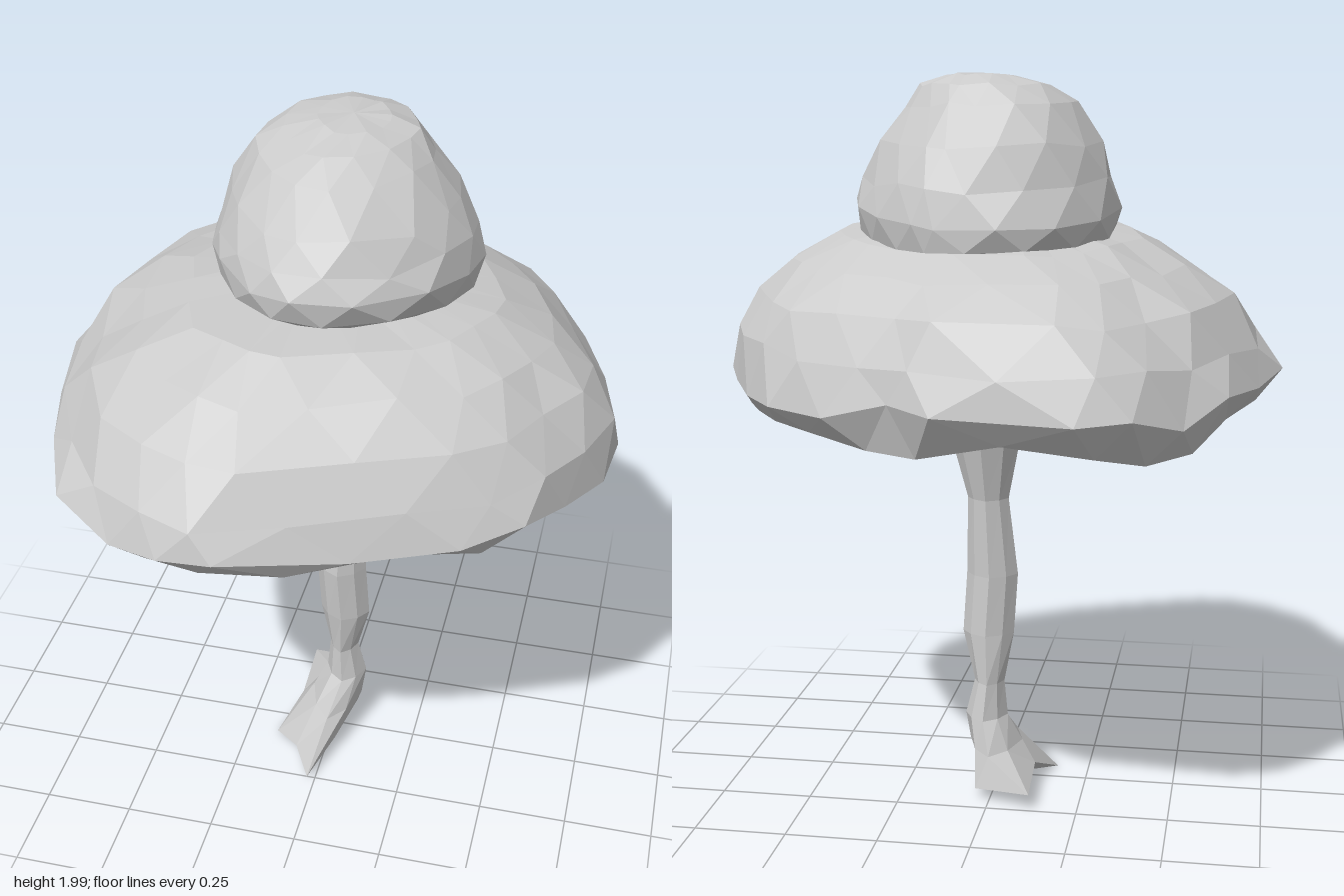
import * as THREE from 'three';

const material = new THREE.MeshStandardMaterial({ color: 0xcccccc, flatShading: true });

// Small repeatable noise in -1..1
let seed = 7;
function noise() {
  seed = (seed * 16807) % 2147483647;
  return (seed / 2147483647) * 2 - 1;
}

// Skin a stack of equal-length rings (bottom to top) and close both ends
function loft(name, rings, bottom, top) {
  const n = rings[0].length;
  const pos = [];
  const tri = (...pts) => pts.forEach((p) => pos.push(...p));
  for (let j = 0; j < n; j++) {
    const k = (j + 1) % n;
    tri(bottom, rings[0][j], rings[0][k]);
    for (let i = 0; i < rings.length - 1; i++) {
      const a = rings[i], b = rings[i + 1];
      tri(a[j], b[j], a[k]);
      tri(a[k], b[j], b[k]);
    }
    const last = rings[rings.length - 1];
    tri(last[j], top, last[k]);
  }
  const geo = new THREE.BufferGeometry();
  geo.setAttribute('position', new THREE.Float32BufferAttribute(pos, 3));
  geo.computeVertexNormals();
  const mesh = new THREE.Mesh(geo, material);
  mesh.name = name;
  return mesh;
}

// Foliage lump from an [x, z] outline around (cx, cz); each ring turns half a step.
// Levels are [scale, y, tilt along z, jitter, centre x, centre z]
function foliage(name, outline, cx, cz, levels, bottom, top) {
  const n = outline.length;
  const rings = levels.map(([s, y, tilt, jitter, ox = cx, oz = cz], i) =>
    outline.map((_, j) => {
      const p = outline[(j + Math.floor(i / 2)) % n];
      const q = outline[(j + Math.ceil(i / 2)) % n];
      const r = s * (1 + (s === 1 ? 0 : 0.02 * noise()));
      const x = ox + r * ((p[0] + q[0]) / 2 - cx);
      const z = oz + r * ((p[1] + q[1]) / 2 - cz);
      return [x, y + tilt * z + jitter * noise(), z];
    }));
  return loft(name, rings, bottom, top);
}

export function createModel() {
  seed = 7;
  const tree = new THREE.Group();
  tree.name = 'tree';

  // Broad lower crown with a hollow underside
  const crownOutline = [
    [0.77, 0.01], [0.75, 0.19], [0.67, 0.34], [0.59, 0.49], [0.45, 0.59], [0.2, 0.7],
    [-0.1, 0.82], [-0.24, 0.81], [-0.38, 0.75], [-0.55, 0.64], [-0.65, 0.4], [-0.71, 0.19],
    [-0.77, -0.08], [-0.71, -0.3], [-0.64, -0.52], [-0.54, -0.66], [-0.43, -0.79],
    [-0.3, -0.83], [0.04, -0.8], [0.16, -0.71], [0.34, -0.64], [0.5, -0.55], [0.6, -0.4],
    [0.69, -0.2],
  ];
  tree.add(foliage('lowerCrown', crownOutline, 0, 0, [
    [0.35, 1.21, 0, 0.005],
    [0.6, 1.185, 0, 0.02],
    [0.8, 1.145, 0.03, 0.03],
    [0.93, 1.135, 0.035, 0.035],
    [1, 1.21, 0.02, 0.03],
    [0.965, 1.31, 0, 0.015, 0.01],
    [0.86, 1.42, 0.01, 0.012, 0.02],
    [0.72, 1.51, 0.03, 0.01, 0.03],
    [0.54, 1.575, 0.05, 0.006, 0.03],
    [0.28, 1.605, 0.04, 0.003, 0.02],
  ], [0.02, 1.215, 0], [0, 1.61, 0]));

  // Small upper crown, leaning back
  const tuftOutline = [
    [0.385, -0.05], [0.36, 0.06], [0.29, 0.23], [0.13, 0.36], [-0.02, 0.38], [-0.13, 0.33],
    [-0.25, 0.18], [-0.31, 0.05], [-0.34, -0.09], [-0.3, -0.26], [-0.2, -0.39], [-0.06, -0.45],
    [0.1, -0.43], [0.16, -0.41], [0.27, -0.31], [0.35, -0.18],
  ];
  tree.add(foliage('upperCrown', tuftOutline, 0.02, -0.04, [
    [0.85, 1.585, 0.1, 0.005],
    [0.98, 1.6, 0.11, 0.008],
    [1, 1.665, 0.11, 0.012],
    [0.95, 1.735, 0.07, 0.012],
    [0.83, 1.82, 0.02, 0.012, 0.015, -0.045],
    [0.65, 1.915, 0, 0.01, 0.01, -0.07],
    [0.48, 1.963, -0.02, 0.006, 0.02, -0.09],
    [0.27, 1.988, -0.03, 0.004, 0.03, -0.09],
  ], [0.02, 1.575, -0.04], [0.03, 1.997, -0.09]));

  // Trunk: splayed roots, slim stem, flare under the crown
  const roots = [
    [0.07, 0.1, -0.02], [0.03, 0.06, 0.12], [-0.02, 0.03, 0.27], [-0.08, 0.04, 0.16],
    [-0.16, 0.01, 0.08], [-0.11, 0.07, -0.05], [-0.12, 0.06, -0.26], [0.04, 0.04, -0.19],
  ];
  // [y, min x, max x, min z, max z]
  const sections = [
    [0.13, -0.07, 0.08, -0.18, 0.12], [0.21, -0.03, 0.09, -0.12, 0.03],
    [0.31, -0.02, 0.065, -0.1, 0.015], [0.45, -0.045, 0.1, -0.09, 0.03],
    [0.62, -0.055, 0.09, -0.085, 0.04], [0.84, -0.03, 0.085, -0.085, 0.02],
    [1.0, -0.06, 0.13, -0.12, 0.06], [1.1, -0.1, 0.19, -0.18, 0.12],
    [1.22, -0.28, 0.34, -0.32, 0.28],
  ];
  const stem = sections.map(([y, x0, x1, z0, z1]) =>
    roots.map((_, j) => {
      const a = (j / 8) * Math.PI * 2;
      const r = j % 2 ? 0.88 : 1;
      return [
        (x0 + x1) / 2 + ((x1 - x0) / 2) * r * Math.cos(a),
        y,
        (z0 + z1) / 2 + ((z1 - z0) / 2) * r * Math.sin(a),
      ];
    }));
  tree.add(loft('trunk', [roots, ...stem], [-0.02, 0.015, -0.01], [0.02, 1.24, -0.01]));

  return tree;
}
